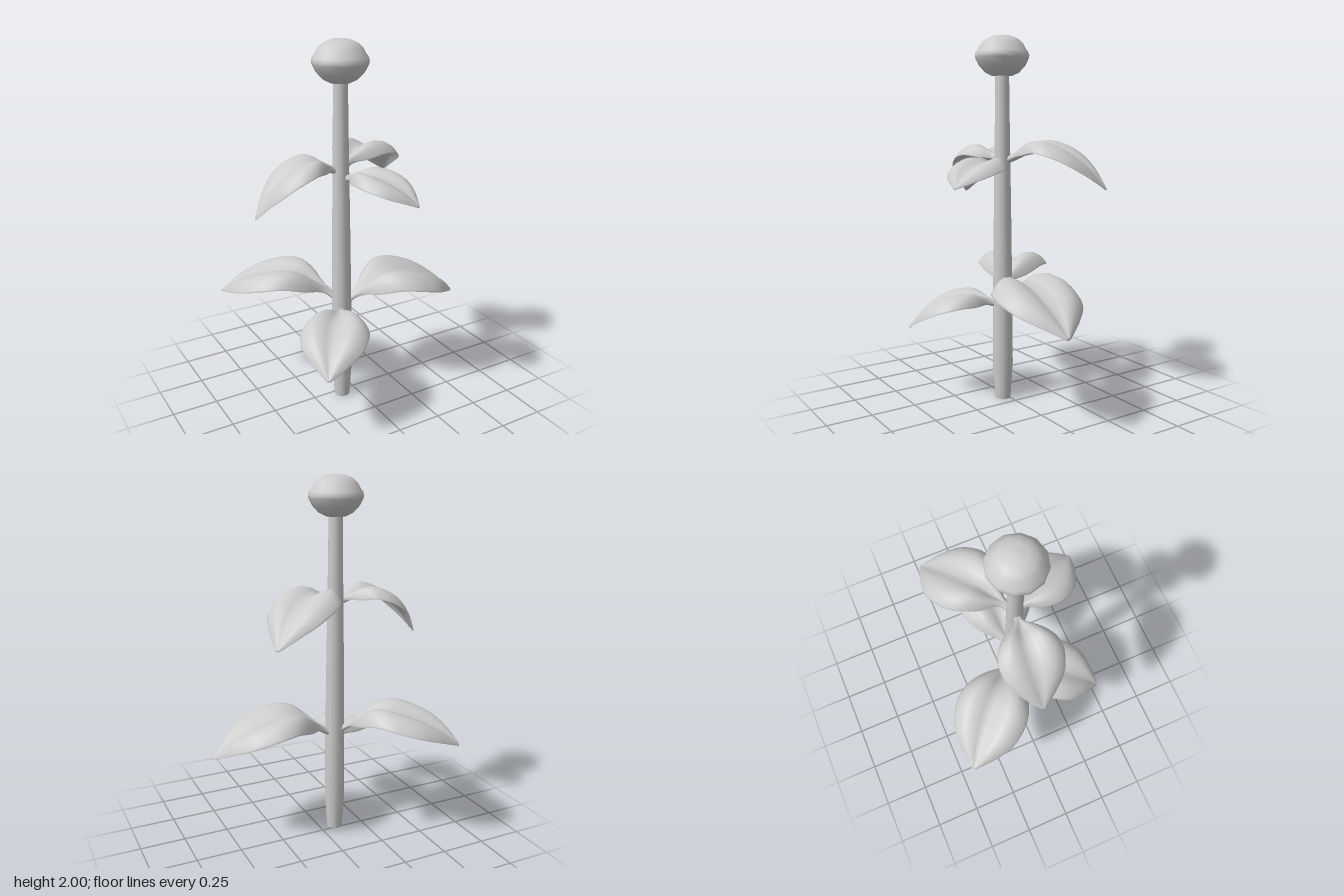
import * as THREE from 'three';

const plainGrey = new THREE.MeshStandardMaterial({ color: 0xcccccc });
plainGrey.name = 'plain grey';
const STEM_X = -0.087, STEM_Z = 0.028;

// Smooth interpolation through [position, value] pairs
function smoothCurve(pairs) {
  return (t) => {
    let k = 0;
    while (k < pairs.length - 2 && t > pairs[k + 1][0]) k++;
    const slope = (i) => {
      const a = pairs[Math.max(i - 1, 0)], b = pairs[Math.min(i + 1, pairs.length - 1)];
      return (b[1] - a[1]) / (b[0] - a[0]);
    };
    const [x0, y0] = pairs[k], [x1, y1] = pairs[k + 1];
    const h = x1 - x0, s = (t - x0) / h, s2 = s * s, s3 = s2 * s;
    return (2 * s3 - 3 * s2 + 1) * y0 + (s3 - 2 * s2 + s) * h * slope(k)
      + (3 * s2 - 2 * s3) * y1 + (s3 - s2) * h * slope(k + 1);
  };
}

// Half width along the leaf, as a share of its widest point
const outline = smoothCurve([[0, 0.11], [0.14, 0.17], [0.24, 0.54], [0.35, 0.82], [0.46, 0.97],
  [0.58, 1], [0.75, 0.85], [0.88, 0.51], [0.97, 0.18], [1, 0.06]]);
// Height of the two humps beside the midrib
const hump = smoothCurve([[0, 0], [0.12, 0.1], [0.28, 0.95], [0.4, 1], [0.65, 0.9], [0.85, 0.6], [1, 0.05]]);

// Leaf: closed cross-sections swept from the stem to the tip
function leafGeometry({ tip, width, y: [base, peak, end] }) {
  const dx = tip[0] - STEM_X, dz = tip[1] - STEM_Z;
  const length = Math.hypot(dx, dz), c = dx / length, s = dz / length;
  const drop = peak - end;
  const spine = smoothCurve([[0, base], [0.2, base + (peak - base) * 0.6], [0.4, peak],
    [0.65, peak - drop * 0.2], [0.85, peak - drop * 0.57], [1, end]]);
  const rows = 28, across = 14, ring = across * 2;
  const pos = [], idx = [];
  for (let i = 0; i <= rows; i++) {
    const t = 0.04 + 0.96 * i / rows;
    const w = width * outline(t);
    const thick = THREE.MathUtils.lerp(0.02, 0.007, THREE.MathUtils.smoothstep(t, 0.1, 0.3));
    for (let j = 0; j < ring; j++) {
      const a = Math.PI * 2 * j / ring;
      const u = -Math.cos(a), m = Math.abs(u);
      const fold = width * hump(t) * (0.27 * Math.sin(Math.PI * m * 0.78) - 0.25 * m ** 4);
      pos.push(STEM_X + c * t * length + s * w * u,
        spine(t) + fold + thick * Math.sin(a),
        STEM_Z + s * t * length - c * w * u);
    }
  }
  for (let i = 0; i < rows; i++) {
    for (let j = 0; j < ring; j++) {
      const a = i * ring + j, b = i * ring + (j + 1) % ring;
      idx.push(a, a + ring, b, b, a + ring, b + ring);
    }
  }
  // Close the tip
  for (let j = 1; j < ring - 1; j++) idx.push(rows * ring, rows * ring + j + 1, rows * ring + j);
  const geo = new THREE.BufferGeometry();
  geo.setAttribute('position', new THREE.Float32BufferAttribute(pos, 3));
  geo.setIndex(idx);
  geo.computeVertexNormals();
  return geo;
}

export function createModel() {
  const group = new THREE.Group();
  group.name = 'plant';
  const add = (name, geo) => {
    const mesh = new THREE.Mesh(geo, plainGrey);
    mesh.name = name;
    group.add(mesh);
    return mesh;
  };
  const lathe = (name, points, sides) =>
    add(name, new THREE.LatheGeometry(points.map((p) => new THREE.Vector2(...p)), sides))
      .position.set(STEM_X, 0, STEM_Z);

  // Tapered stem with a narrowed foot
  lathe('stem', [[0, 0], [0.043, 0], [0.043, 0.001], [0.056, 0.2], [0.054, 0.55], [0.047, 1.1],
    [0.042, 1.4], [0.037, 1.82]], 12);

  // Bud: cup with a soft rim, and a dome on top
  lathe('bud', [[0, 1.785], [0.055, 1.788], [0.09, 1.805], [0.123, 1.84], [0.143, 1.88], [0.145, 1.895],
    [0.14, 1.913], [0.129, 1.926], [0.114, 1.955], [0.088, 1.98], [0.05, 1.996], [0, 2]], 12);

  // Two whorls of three leaves: tip is [x, z]; y is base, crest and tip of the midrib
  const leaves = {
    lowerBackLeaf: { tip: [-0.605, -0.435], width: 0.205, y: [0.59, 0.725, 0.59] },
    lowerSideLeaf: { tip: [0.605, 0.1], width: 0.228, y: [0.57, 0.695, 0.525] },
    lowerFrontLeaf: { tip: [-0.4, 0.45], width: 0.18, y: [0.54, 0.56, 0.4] },
    upperSideLeaf: { tip: [-0.555, -0.015], width: 0.166, y: [1.33, 1.375, 1.14] },
    upperBackLeaf: { tip: [0.385, -0.305], width: 0.18, y: [1.33, 1.4, 1.2] },
    upperFrontLeaf: { tip: [0.12, 0.435], width: 0.15, y: [1.29, 1.32, 1.22] },
  };
  for (const [name, spec] of Object.entries(leaves)) add(name, leafGeometry(spec));
  return group;
}
